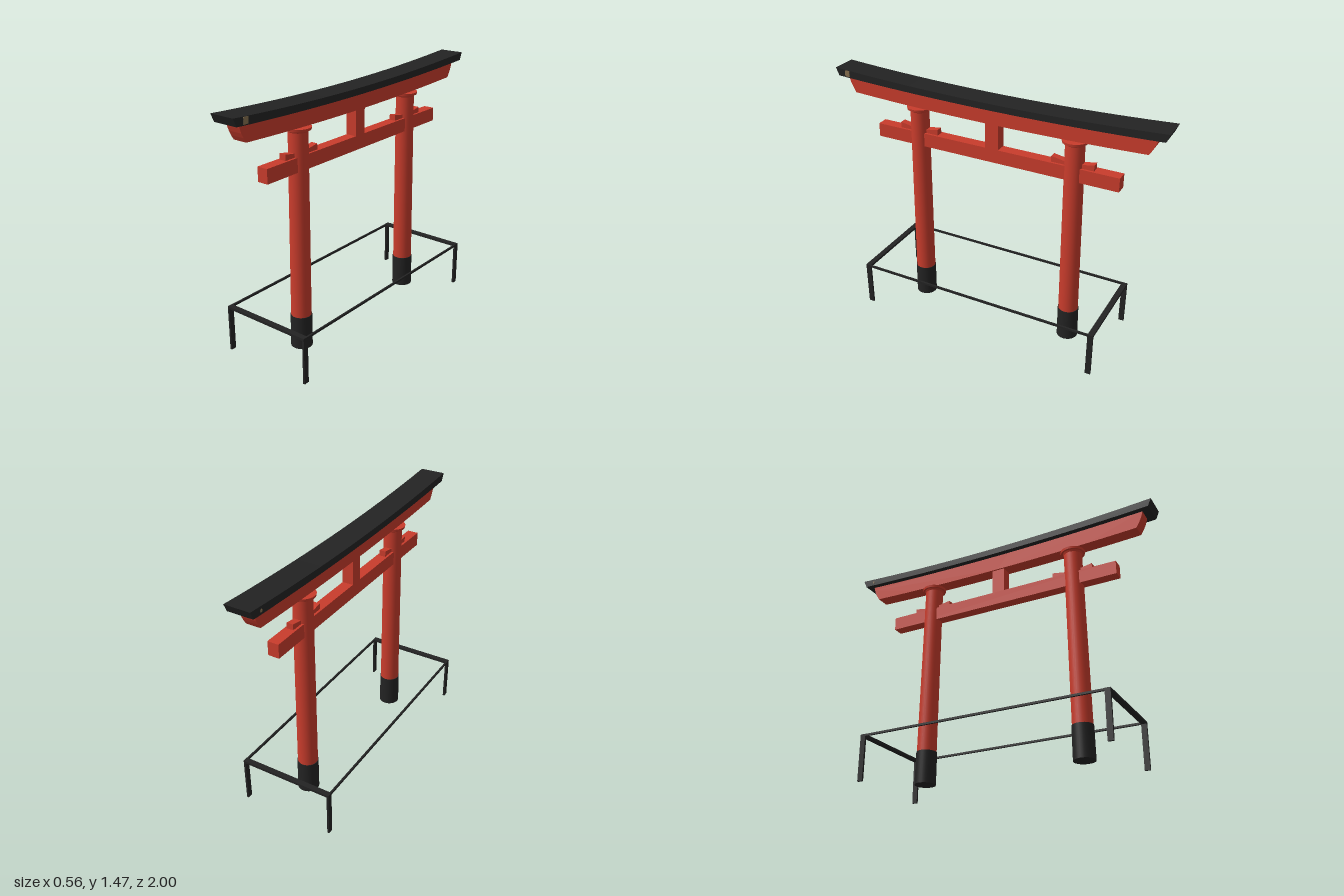
import * as THREE from 'three';

const CX = 0.018; // the gate stands slightly off the centre of its railing

export function createModel() {
  const red = new THREE.MeshStandardMaterial({ color: 0xc93c2c });
  red.name = 'vermilion';
  const black = new THREE.MeshStandardMaterial({ color: 0x232323 });
  black.name = 'black';
  const tan = new THREE.MeshStandardMaterial({ color: 0x86704f });
  tan.name = 'tan';

  const model = new THREE.Group();
  model.name = 'gate';

  const add = (name, geometry, material, x, y, z, parent = model) => {
    const mesh = new THREE.Mesh(geometry, material);
    mesh.name = name;
    mesh.position.set(x, y, z);
    parent.add(mesh);
    return mesh;
  };

  // Box given by its limits on each axis
  const box = (name, material, [x0, x1], [y0, y1], [z0, z1]) =>
    add(name, new THREE.BoxGeometry(x1 - x0, y1 - y0, z1 - z0), material,
      (x0 + x1) / 2, (y0 + y1) / 2, (z0 + z1) / 2);

  // Side profile drawn in (z, y), extruded across x
  const extrudeAcross = (points, width) => {
    const shape = new THREE.Shape(points.map(([z, y]) => new THREE.Vector2(z, y)));
    const geometry = new THREE.ExtrudeGeometry(shape, { depth: width, bevelEnabled: false });
    return geometry.translate(0, 0, -width / 2).rotateY(-Math.PI / 2);
  };

  // Upward-sweeping beam with slanted, slightly hollow ends
  const sweptBeam = (low, high, lowEnd, highEnd, hollow, width) => {
    const points = [];
    const n = 24;
    for (let i = 0; i <= n; i++) {
      const z = lowEnd * (2 * i / n - 1);
      points.push([z, low(z)]);
    }
    const endPoint = (t) => [
      lowEnd + (highEnd - lowEnd) * t - hollow * Math.sin(Math.PI * t),
      low(lowEnd) + (high(highEnd) - low(lowEnd)) * t,
    ];
    for (let i = 1; i < 4; i++) points.push(endPoint(i / 4));
    for (let i = 0; i <= n; i++) {
      const z = highEnd * (1 - 2 * i / n);
      points.push([z, high(z)]);
    }
    for (let i = 3; i > 0; i--) {
      const [z, y] = endPoint(i / 4);
      points.push([-z, y]);
    }
    return extrudeAcross(points, width);
  };

  // Roof beam and the red lintel beneath it
  add('roofBeam', sweptBeam((z) => 1.4 + 0.026 * z * z, (z) => 1.438 + 0.033 * z * z,
    0.98, 1.0, 0, 0.15), black, CX, 0, 0);
  add('upperLintel', sweptBeam((z) => 1.304 + 0.026 * z * z, (z) => 1.403 + 0.026 * z * z,
    0.893, 0.937, -0.006, 0.085), red, CX, 0, 0);

  // Small worn patches on the roof beam
  box('roofPatch', tan, [CX + 0.074, CX + 0.078], [1.428, 1.464], [0.905, 0.935]);
  box('roofPatch', tan, [CX - 0.078, CX - 0.074], [1.436, 1.45], [-0.925, -0.915]);

  // Tie beam and centre strut
  box('tieBeam', red, [CX - 0.033, CX + 0.033], [1.07, 1.152], [-0.753, 0.753]);
  box('centreStrut', red, [CX - 0.033, CX + 0.033], [1.14, 1.32], [-0.04, 0.04]);

  for (const s of [1, -1]) {
    // Pillar leaning slightly inward, with its sleeve and cap
    const pillar = new THREE.Group();
    pillar.name = s > 0 ? 'frontPillar' : 'backPillar';
    pillar.position.set(CX, 0.02, s * 0.496);
    pillar.rotation.x = -s * 0.011;
    model.add(pillar);
    add('sleeve', new THREE.CylinderGeometry(0.061, 0.062, 0.195, 32), black, 0, 0.0975, 0, pillar);
    add('shaft', new THREE.CylinderGeometry(0.054, 0.058, 1.1, 32), red, 0, 0.73, 0, pillar);
    add('cap', new THREE.CylinderGeometry(0.073, 0.071, 0.014, 32), red, 0, 1.278, 0, pillar);
    add('neck', new THREE.CylinderGeometry(0.06, 0.054, 0.012, 32), red, 0, 1.266, 0, pillar);

    // Wedges driven in on both sides of the pillar
    for (const d of [1, -1]) {
      const c = 0.48;
      let profile = [[c, 1.145], [c + d * 0.124, 1.145], [c + d * 0.124, 1.186], [c, 1.165]];
      profile = profile.map(([z, y]) => [s * z, y]);
      add('wedge', extrudeAcross(profile, 0.04), red, CX, 0, 0);
    }
  }

  // Railing around the gate
  const ends = [[0.737, 0.769], [-0.751, -0.719]];
  for (const z of ends) {
    box('endRail', black, [-0.284, 0.281], [0.262, 0.276], z);
    for (const x of [[-0.284, -0.272], [0.269, 0.281]]) {
      box('railPost', black, x, [0, 0.264], z);
    }
  }
  for (const x of [[-0.284, -0.273], [0.27, 0.281]]) {
    box('longRail', black, x, [0.263, 0.275], [-0.735, 0.753]);
  }

  return model;
}
